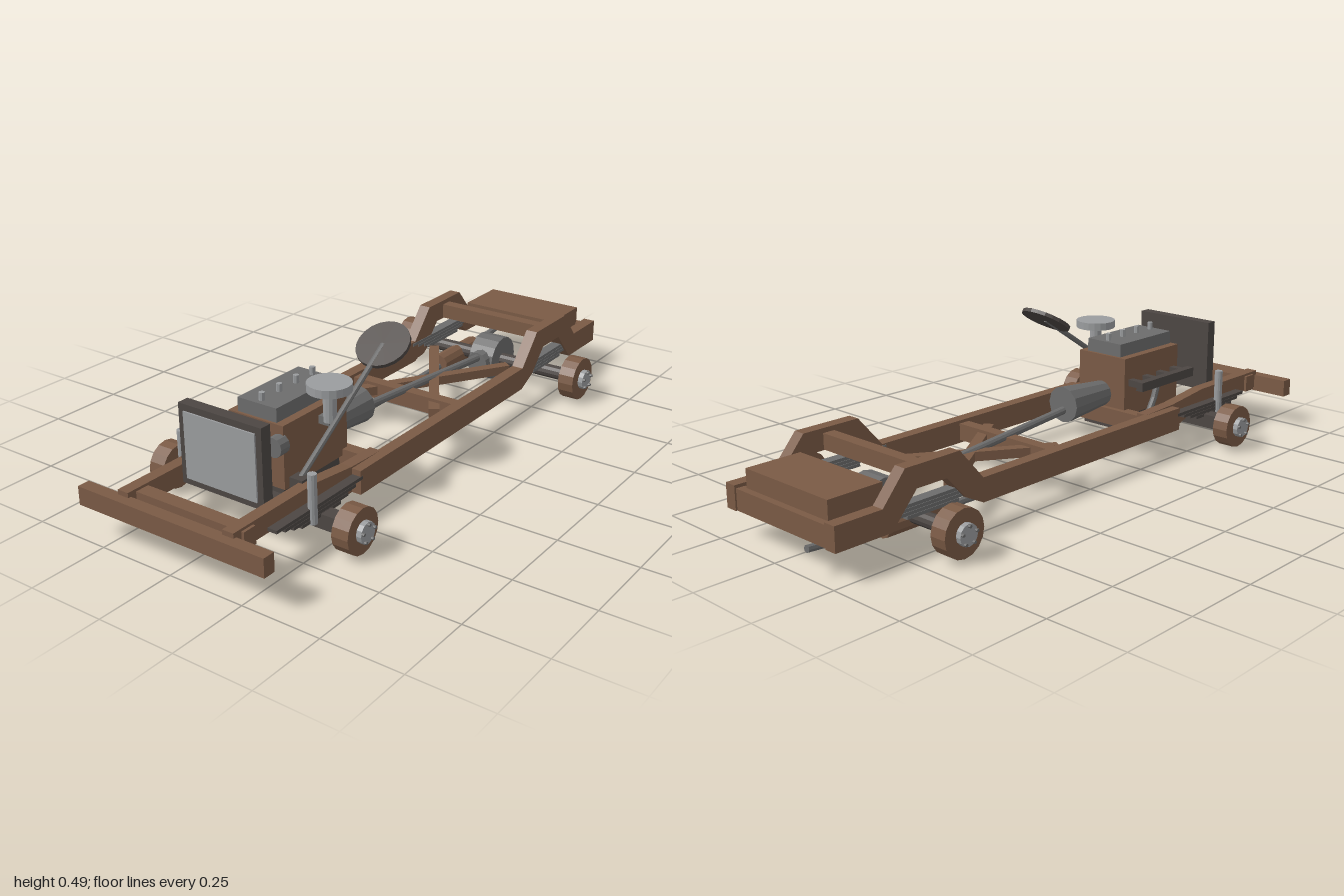
import * as THREE from 'three';

const material = (color) => new THREE.MeshStandardMaterial({ color, flatShading: true });

export function createModel() {
  const model = new THREE.Group();
  const rust = material(0x7a5a45);
  const dark = material(0x4c4643);
  const steel = material(0x6c6c6c);
  const light = material(0x9a9c9e);

  function add(name, geometry, mat) {
    const mesh = new THREE.Mesh(geometry, mat);
    mesh.name = name;
    model.add(mesh);
    return mesh;
  }
  // Box given by its extents on each axis
  function box(name, mat, [x0, x1], [y0, y1], [z0, z1]) {
    const mesh = add(name, new THREE.BoxGeometry(x1 - x0, y1 - y0, z1 - z0), mat);
    mesh.position.set((x0 + x1) / 2, (y0 + y1) / 2, (z0 + z1) / 2);
    return mesh;
  }
  // Cylinder or cone between two points
  function rod(name, mat, from, to, r0, r1 = r0, sides = 12) {
    const a = new THREE.Vector3(...from), b = new THREE.Vector3(...to);
    const dir = b.clone().sub(a);
    const mesh = add(name, new THREE.CylinderGeometry(r1, r0, dir.length(), sides), mat);
    mesh.position.copy(a).add(b).multiplyScalar(0.5);
    mesh.quaternion.setFromUnitVectors(new THREE.Vector3(0, 1, 0), dir.normalize());
    return mesh;
  }
  // Side profile of (z, y) points extruded across x
  function profile(name, mat, points, x0, x1) {
    const shape = new THREE.Shape(points.map(([z, y]) => new THREE.Vector2(-z, y)));
    const geo = new THREE.ExtrudeGeometry(shape, { depth: x1 - x0, bevelEnabled: false });
    geo.rotateY(Math.PI / 2).translate(x0, 0, 0);
    add(name, geo, mat);
  }

  // Ladder frame: main rails with rear kick-up, and narrower front horns
  const railPoints = [
    [0.47, 0.08], [-0.45, 0.08], [-0.52, 0.115], [-0.59, 0.19], [-0.70, 0.19], [-0.79, 0.09], [-0.98, 0.09],
    [-0.98, 0.165], [-0.82, 0.165], [-0.74, 0.257], [-0.54, 0.257], [-0.45, 0.155], [0.47, 0.155],
  ];
  const hornPoints = [
    [0.97, 0.12], [0.62, 0.12], [0.5, 0.08], [0.33, 0.08], [0.33, 0.155], [0.47, 0.16], [0.64, 0.18], [0.97, 0.18],
  ];
  for (const s of [-1, 1]) {
    const span = (a, b) => (s > 0 ? [a, b] : [-b, -a]);
    profile('mainRail', rust, railPoints, ...span(0.197, 0.237));
    profile('frontRail', rust, hornPoints, ...span(0.168, 0.206));

    // Leaf springs, each a stack of shortening leaves
    for (let i = 0; i < 4; i++) {
      const front = 0.19 - i * 0.035, rear = 0.2 - i * 0.035;
      box('frontLeafSpring', dark, span(0.207, 0.238), [0.127 - i * 0.011, 0.137 - i * 0.011], [0.65 - front, 0.65 + front]);
      box('rearLeafSpring', steel, span(0.195, 0.23), [0.14 - i * 0.011, 0.15 - i * 0.011], [-0.635 - rear, -0.635 + rear]);
    }
    rod('shockAbsorber', light, [s * 0.237, 0.09, 0.688], [s * 0.237, 0.24, 0.688], 0.0135);

    // Wheel drums, hubs and lug bolts
    for (const [z, r] of [[0.632, 0.07], [-0.647, 0.073]]) {
      const y = 0.08;
      rod('wheelDrum', rust, [s * 0.308, y, z], [s * 0.363, y, z], r, r, 16);
      rod('hub', light, [s * 0.36, y, z], [s * 0.38, y, z], 0.033, 0.033, 12);
      for (let i = 0; i < 5; i++) {
        const a = (i / 5) * Math.PI * 2 + Math.PI / 2;
        const ly = y + Math.sin(a) * 0.027, lz = z + Math.cos(a) * 0.027;
        rod('lugBolt', steel, [s * 0.375, ly, lz], [s * 0.388, ly, lz], 0.005, 0.005, 6);
      }
    }

    // Diagonal of the X brace
    const brace = box('crossBrace', rust, [-0.017, 0.017], [0.105, 0.135], [-0.275, 0.275]);
    brace.rotation.y = s * Math.atan2(0.3, 0.46);
    brace.position.set(0, 0.12, -0.27);
  }

  // Cross members and bumper
  box('frontBumper', rust, [-0.33, 0.33], [0.108, 0.165], [0.96, 1.0]);
  box('frontCrossMember', rust, [-0.215, 0.215], [0.118, 0.172], [0.895, 0.94]);
  box('engineCrossMember', rust, [-0.2, 0.2], [0.09, 0.145], [0.33, 0.37]);
  box('middleCrossMember', rust, [-0.2, 0.2], [0.09, 0.145], [-0.125, -0.085]);
  box('rearArchCrossMember', rust, [-0.2, 0.2], [0.192, 0.242], [-0.67, -0.63]);
  box('rearCrossMember', rust, [-0.2, 0.2], [0.09, 0.155], [-0.975, -0.945]);
  box('fuelTank', rust, [-0.178, 0.178], [0.135, 0.213], [-0.953, -0.768]);

  // Axles, differential and driveline
  box('frontAxle', dark, [-0.31, 0.31], [0.057, 0.103], [0.608, 0.655]);
  rod('rearAxle', dark, [-0.31, 0.08, -0.647], [0.31, 0.08, -0.647], 0.023);
  rod('differential', steel, [-0.046, 0.08, -0.65], [0.046, 0.08, -0.65], 0.08, 0.08, 16);
  rod('pinionHousing', steel, [0, 0.085, -0.6], [0, 0.085, -0.548], 0.04);
  rod('driveShaft', steel, [0, 0.105, -0.56], [0, 0.17, 0.17], 0.013, 0.013, 10);
  rod('gearbox', steel, [0, 0.188, 0.352], [0, 0.188, 0.153], 0.042, 0.06, 12);

  // Engine
  box('engineBlock', rust, [-0.098, 0.098], [0.125, 0.32], [0.348, 0.636]);
  box('oilPan', dark, [-0.085, 0.085], [0.068, 0.125], [0.36, 0.625]);
  box('valveCover', steel, [-0.07, 0.07], [0.32, 0.363], [0.358, 0.628]);
  for (let i = 0; i < 4; i++) {
    const z = 0.38 + i * 0.075;
    rod('sparkPlug', light, [0, 0.36, z], [0, 0.387, z], 0.009, 0.009, 8);
    box('exhaustPort', dark, [-0.15, -0.095], [0.225, 0.247], [z - 0.012, z + 0.012]);
  }
  box('exhaustManifold', dark, [-0.168, -0.142], [0.22, 0.25], [0.355, 0.635]);
  rod('waterPump', steel, [0.087, 0.265, 0.63], [0.087, 0.265, 0.668], 0.03);
  rod('carburettor', light, [0.128, 0.28, 0.465], [0.128, 0.378, 0.465], 0.02);
  box('intakeManifold', steel, [0.09, 0.135], [0.27, 0.295], [0.45, 0.48]);
  rod('airFilter', light, [0.128, 0.375, 0.465], [0.128, 0.4, 0.465], 0.066, 0.066, 20);

  // Radiator
  box('radiatorFrame', dark, [-0.147, 0.147], [0.14, 0.383], [0.745, 0.782]);
  box('radiatorCore', light, [-0.127, 0.127], [0.16, 0.363], [0.76, 0.787]);

  // Steering
  const wheelCentre = [0.142, 0.437, 0.225];
  rod('steeringColumn', steel, [0.155, 0.17, 0.65], wheelCentre, 0.009, 0.009, 8);
  const wheel = add('steeringWheel', new THREE.CylinderGeometry(0.084, 0.084, 0.012, 20), dark);
  wheel.position.set(...wheelCentre);
  wheel.rotation.x = Math.atan2(0.53, 0.85);
  box('steeringBox', dark, [0.135, 0.18], [0.145, 0.187], [0.62, 0.66]);

  // Exhaust system
  const pipe = new THREE.CatmullRomCurve3([
    [-0.155, 0.225, 0.45], [-0.153, 0.15, 0.42], [-0.146, 0.075, 0.34], [-0.135, 0.052, 0], [-0.134, 0.055, -0.52],
  ].map((p) => new THREE.Vector3(...p)));
  add('exhaustPipe', new THREE.TubeGeometry(pipe, 24, 0.011, 8), steel);
  rod('muffler', rust, [-0.134, 0.064, -0.51], [-0.134, 0.064, -0.74], 0.034, 0.034, 10);
  rod('tailPipe', steel, [-0.136, 0.06, -0.73], [-0.142, 0.082, -0.998], 0.011, 0.011, 8);

  return model;
}
